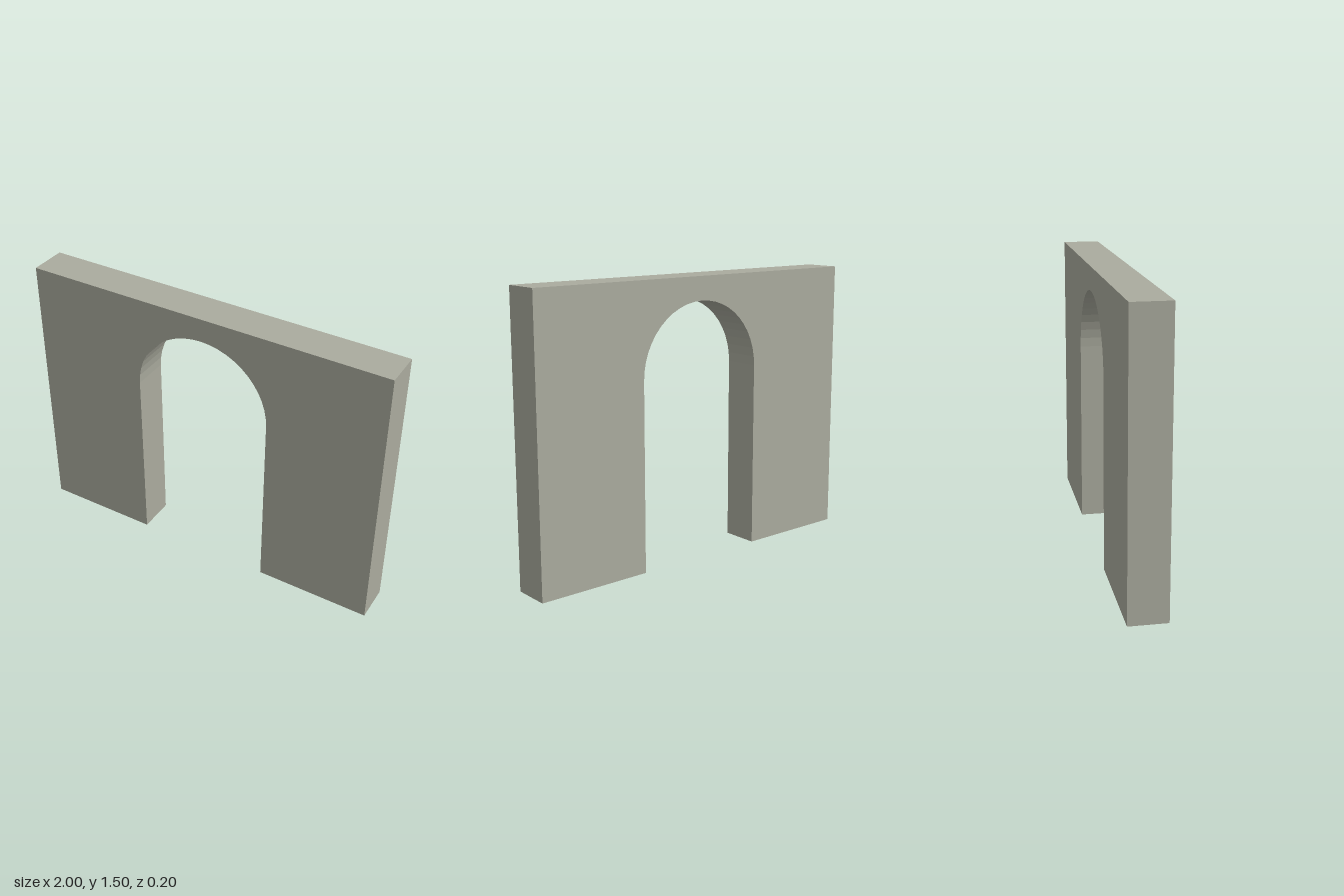
import * as THREE from 'three';

const WIDTH = 2, HEIGHT = 1.5, DEPTH = 0.2;
const OPENING_RADIUS = 0.375, SPRING_HEIGHT = 1;

export function createModel() {
  const group = new THREE.Group();
  group.name = 'archwayWall';

  // Wall outline with a round-headed opening that reaches the ground
  const outline = new THREE.Shape();
  outline.moveTo(-WIDTH / 2, 0);
  outline.lineTo(-OPENING_RADIUS, 0);
  outline.lineTo(-OPENING_RADIUS, SPRING_HEIGHT);
  outline.absarc(0, SPRING_HEIGHT, OPENING_RADIUS, Math.PI, 0, true);
  outline.lineTo(OPENING_RADIUS, 0);
  outline.lineTo(WIDTH / 2, 0);
  outline.lineTo(WIDTH / 2, HEIGHT);
  outline.lineTo(-WIDTH / 2, HEIGHT);
  outline.closePath();

  // Wall thickness, centred on z = 0
  const geometry = new THREE.ExtrudeGeometry(outline, {
    depth: DEPTH, bevelEnabled: false, curveSegments: 12,
  });
  geometry.translate(0, 0, -DEPTH / 2);

  const material = new THREE.MeshStandardMaterial({ color: 0xaaab9e });
  const wall = new THREE.Mesh(geometry, material);
  wall.name = 'wall';
  group.add(wall);
  return group;
}
